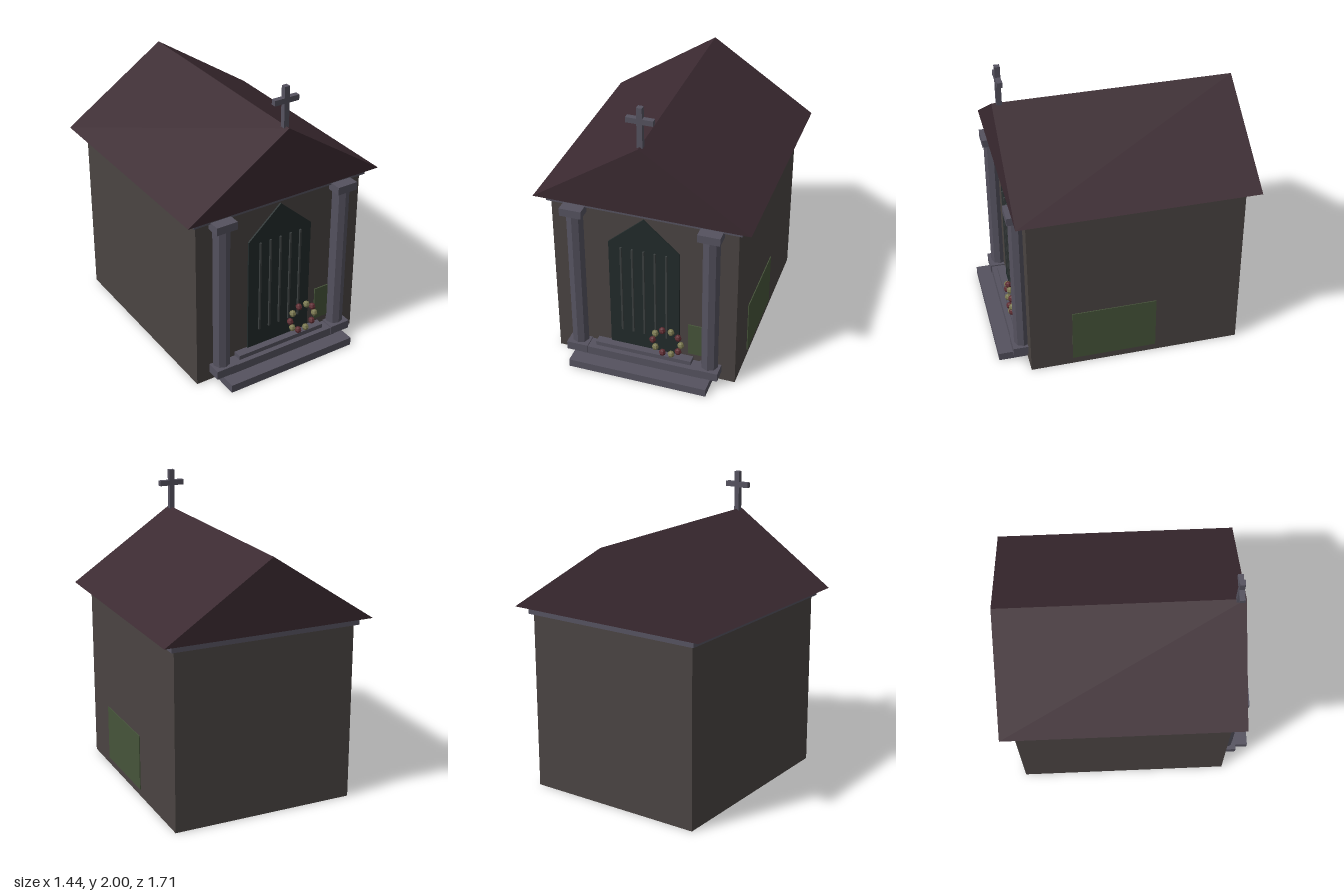
import * as THREE from 'three';

const mat = (color) => new THREE.MeshStandardMaterial({ color, flatShading: true });

export function createModel() {
  const model = new THREE.Group();
  model.name = 'chapel';
  const wall = mat(0x4a4442), stone = mat(0x55525f), roofing = mat(0x3b2a31);
  const iron = mat(0x222b2b), bars = mat(0x3a3f3f), moss = mat(0x46543a);
  const red = mat(0x5e2c32), olive = mat(0x7a7850);

  const add = (name, geometry, material, parent = model) => {
    const mesh = new THREE.Mesh(geometry, material);
    mesh.name = name;
    parent.add(mesh);
    return mesh;
  };
  // Box given by its limits on each axis
  const box = (name, material, [x0, x1], [y0, y1], [z0, z1], parent) => {
    const mesh = add(name, new THREE.BoxGeometry(x1 - x0, y1 - y0, z1 - z0), material, parent);
    mesh.position.set((x0 + x1) / 2, (y0 + y1) / 2, (z0 + z1) / 2);
    return mesh;
  };
  // Outline extruded from z0 to z1
  const slab = (name, material, points, z0, z1) => {
    const shape = new THREE.Shape(points.map(([x, y]) => new THREE.Vector2(x, y)));
    const geometry = new THREE.ExtrudeGeometry(shape, { depth: z1 - z0, bevelEnabled: false });
    return add(name, geometry.translate(0, 0, z0), material);
  };

  // Body, cornice and gabled roof
  box('walls', wall, [-0.625, 0.625], [0, 1.21], [-0.78, 0.66]);
  box('cornice', stone, [-0.65, 0.65], [1.205, 1.256], [-0.805, 0.685]);
  slab('roof', roofing, [[-0.718, 1.255], [0.718, 1.255], [0, 1.735]], -0.855, 0.735);

  // Cross on the front end of the ridge
  const cross = new THREE.Group();
  cross.name = 'cross';
  model.add(cross);
  box('crossUpright', stone, [-0.018, 0.018], [1.725, 2], [0.67, 0.705], cross);
  box('crossBar', stone, [-0.088, 0.088], [1.89, 1.926], [0.67, 0.705], cross);

  // Steps and threshold
  box('lowerStep', stone, [-0.48, 0.48], [0, 0.056], [0.6, 0.855]);
  box('upperStep', stone, [-0.42, 0.42], [0.056, 0.116], [0.6, 0.755]);
  box('threshold', stone, [-0.335, 0.335], [0.116, 0.146], [0.6, 0.72]);

  // Pair of eight-sided columns
  for (const side of [-1, 1]) {
    const column = new THREE.Group();
    column.name = side > 0 ? 'leftColumn' : 'rightColumn';
    column.position.set(side * 0.457, 0, 0.687);
    model.add(column);
    const half = [-0.074, 0.074];
    box('columnBase', stone, half, [0.064, 0.125], half, column);
    add('columnShaft', new THREE.CylinderGeometry(0.058, 0.058, 1.105, 8), stone, column).position.y = 0.6125;
    box('columnCapital', stone, half, [1.16, 1.215], half, column);
  }

  // Pointed door with vertical bars
  slab('door', iron, [[-0.24, 0.14], [0.24, 0.14], [0.24, 0.965], [0, 1.18], [-0.24, 0.965]], 0.65, 0.672);
  for (let i = -2; i <= 2; i++) {
    const x = i * 0.077;
    box('doorBar', bars, [x - 0.006, x + 0.006], [0.27, 0.94], [0.668, 0.684]);
  }

  // Moss patches on the front and left walls
  box('frontMoss', moss, [0.3, 0.5], [0.17, 0.413], [0.655, 0.668]);
  box('sideMoss', moss, [0.62, 0.631], [0.05, 0.435], [-0.2, 0.375]);

  // Wreath of alternating blooms leaning at the door
  const wreath = new THREE.Group();
  wreath.name = 'wreath';
  wreath.position.set(0.167, 0.266, 0.715);
  model.add(wreath);
  for (let i = 0; i < 10; i++) {
    const a = (i * Math.PI) / 5;
    const bloom = add('bloom', new THREE.SphereGeometry(0.024, 6, 4), i % 2 ? red : olive, wreath);
    bloom.position.set(Math.cos(a) * 0.098, Math.sin(a) * 0.098, 0);
  }

  return model;
}
